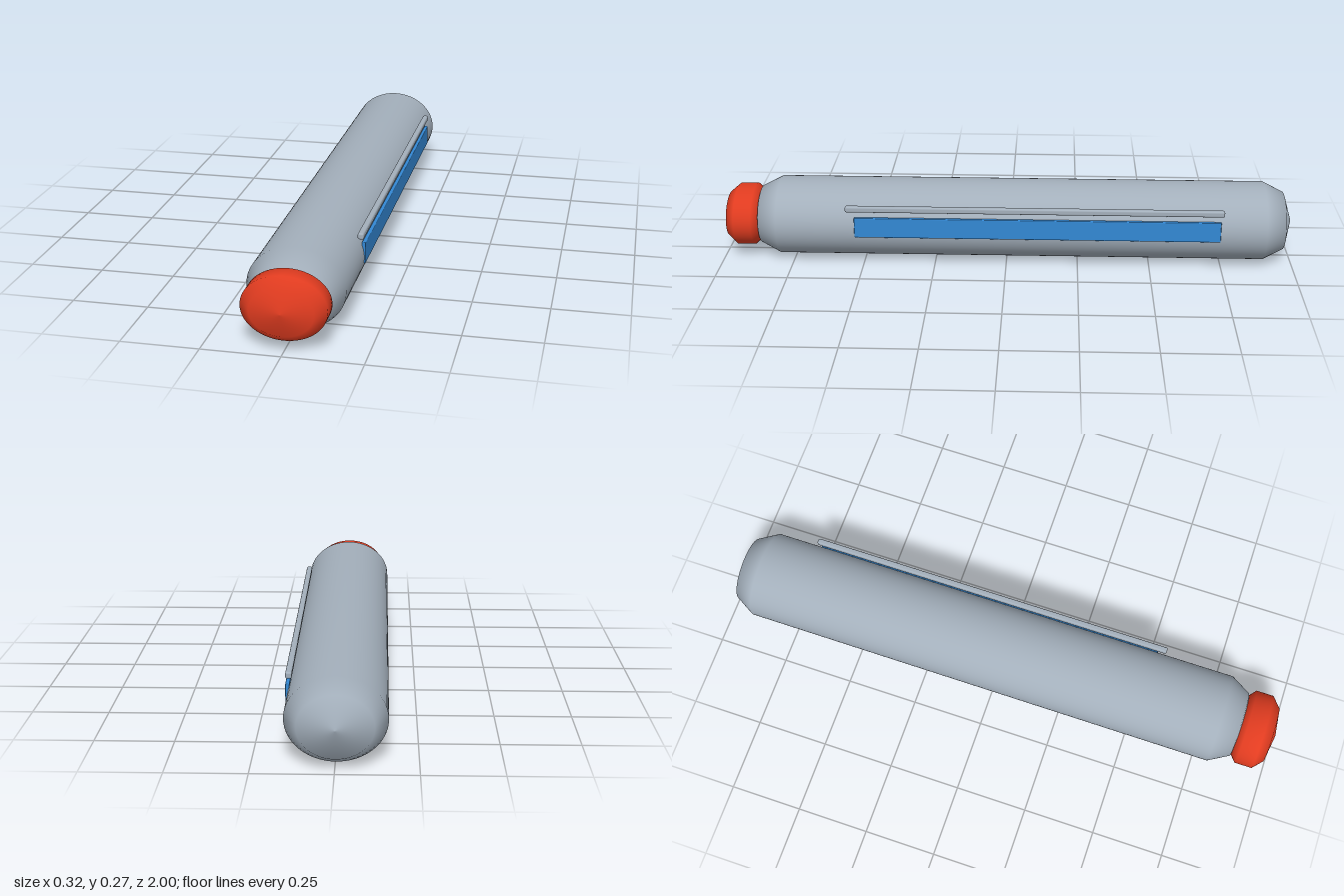
import * as THREE from 'three';
import { RoundedBoxGeometry } from 'three/addons/geometries/RoundedBoxGeometry.js';

const grey = new THREE.MeshStandardMaterial({ color: 0xa3afbb });
grey.name = 'metal grey';
const red = new THREE.MeshStandardMaterial({ color: 0xe23c20 });
red.name = 'cap red';
const blue = new THREE.MeshStandardMaterial({ color: 0x3388d4 });
blue.name = 'panel blue';

const AXIS_X = -0.002, AXIS_Y = 0.135;

// Elliptical solid turned about the z axis; profile is [relative radius, z], back to front
function turned(name, profile, rx, ry, material) {
  const geo = new THREE.LatheGeometry(profile.map(([r, z]) => new THREE.Vector2(r, z)), 64);
  geo.scale(rx, 1, ry);
  geo.rotateX(Math.PI / 2);
  const mesh = new THREE.Mesh(geo, material);
  mesh.name = name;
  mesh.position.set(AXIS_X, AXIS_Y, 0);
  return mesh;
}

// Softly rounded bar given by its extents
function bar(name, [x0, x1], [y0, y1], [z0, z1], radius, material) {
  const mesh = new THREE.Mesh(new RoundedBoxGeometry(x1 - x0, y1 - y0, z1 - z0, 3, radius), material);
  mesh.name = name;
  mesh.position.set((x0 + x1) / 2, (y0 + y1) / 2, (z0 + z1) / 2);
  return mesh;
}

export function createModel() {
  const group = new THREE.Group();
  group.name = 'capsule';

  // Long oval body with domed ends
  group.add(turned('body',
    [[0, -1], [0.74, -0.97], [1, -0.9], [1, 0.8], [0.74, 0.87], [0, 0.9]],
    0.156, 0.134, grey));

  // Smaller domed cap on the front end
  group.add(turned('frontCap',
    [[0, 0.85], [0.74, 0.863], [1, 0.893], [1, 0.953], [0.74, 0.985], [0, 1]],
    0.134, 0.104, red));

  // Side panel and the rail above it
  group.add(bar('sidePanel', [0.145, 0.158], [0.115, 0.187], [-0.74, 0.525], 0.003, blue));
  group.add(bar('sideRail', [0.137, 0.157], [0.207, 0.228], [-0.75, 0.555], 0.006, grey));

  return group;
}
